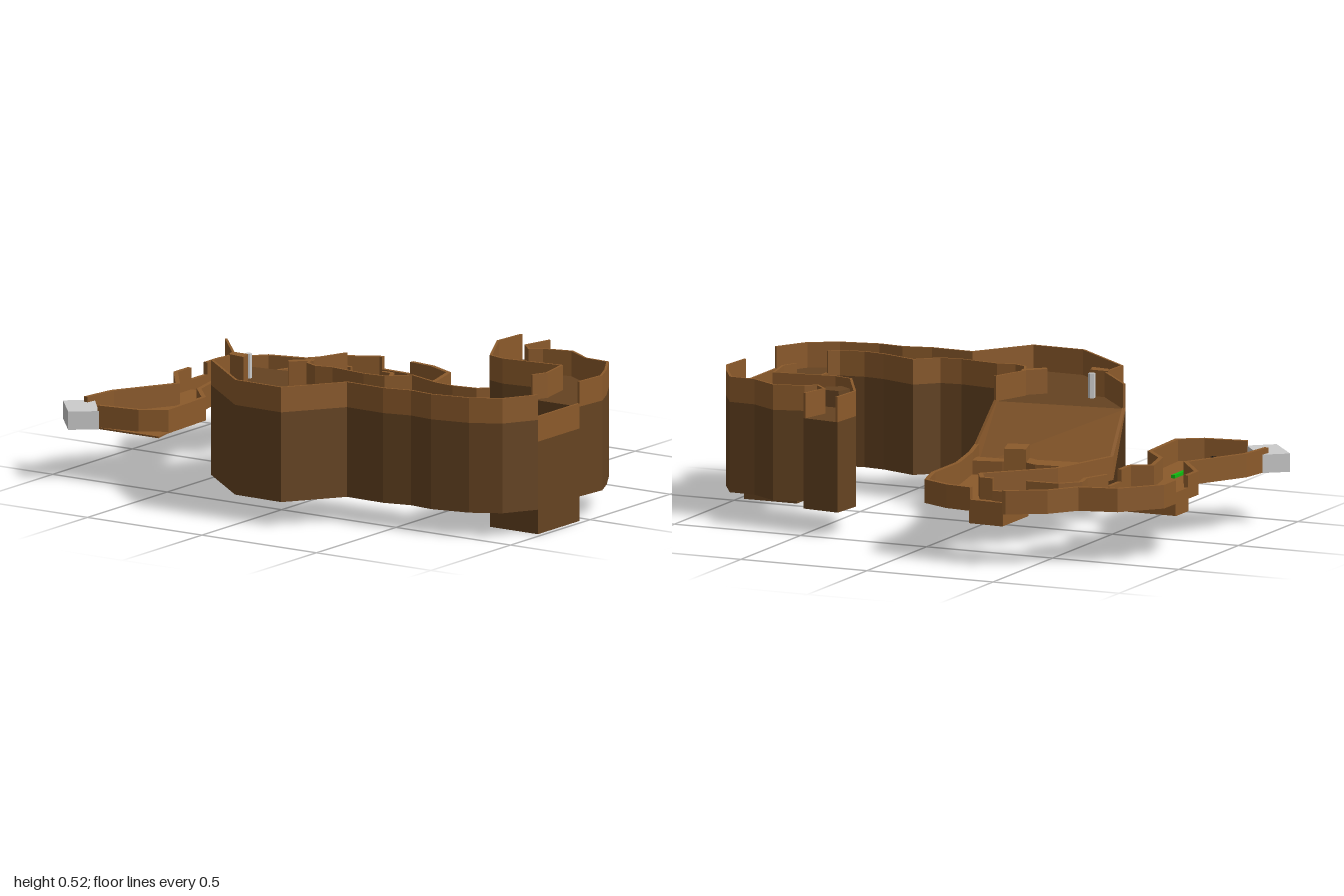
import * as THREE from 'three';

const paint = (color) => new THREE.MeshStandardMaterial({ color, flatShading: true });
const clay = paint(0x8b5a2b), earth = paint(0x654321), grey = paint(0xcccccc);
const green = paint(0x11bb11), black = paint(0x111111);

function add(parent, name, geometry, material) {
  const mesh = new THREE.Mesh(geometry, material);
  mesh.name = name;
  parent.add(mesh);
  return mesh;
}

// Prism over an [x, z] outline between two heights
function prism(outline, y0, y1) {
  const shape = new THREE.Shape(outline.map(([x, z]) => new THREE.Vector2(x, -z)));
  return new THREE.ExtrudeGeometry(shape, { depth: y1 - y0, bevelEnabled: false })
    .rotateX(-Math.PI / 2).translate(0, y0, 0);
}

// Thin wall along [x, z] points; y0 and y1 are functions of the point index.
// side is +1 for a wall left of the track and -1 for one on its right.
function wall(points, y0, y1, side, thick) {
  const pos = [], idx = [];
  const normal = (a, b) => new THREE.Vector2(a[1] - b[1], b[0] - a[0]).normalize().multiplyScalar(side);
  const quad = (a, b, c, d) => (side > 0 ? idx.push(a, d, c, a, c, b) : idx.push(a, b, c, a, c, d));
  const last = points.length - 1;
  points.forEach((p, i) => {
    const n0 = normal(points[Math.max(i - 1, 0)], points[Math.max(i, 1)]);
    const n1 = normal(points[Math.min(i, last - 1)], points[Math.min(i + 1, last)]);
    const m = n0.clone().add(n1).normalize();
    m.multiplyScalar(thick / Math.max(m.dot(n0), 0.5));
    const [x, z] = p, u = x + m.x, v = z + m.y;
    pos.push(x, y0(i), z, x, y1(i), z, u, y1(i), v, u, y0(i), v);
    if (i < last) {
      for (let k = 0; k < 4; k++) {
        const a = i * 4 + k, b = i * 4 + (k + 1) % 4;
        quad(a, a + 4, b + 4, b);
      }
    }
  });
  quad(0, 1, 2, 3);
  const e = last * 4;
  quad(e + 3, e + 2, e + 1, e);
  const g = new THREE.BufferGeometry();
  g.setAttribute('position', new THREE.Float32BufferAttribute(pos, 3));
  g.setIndex(idx);
  const flat = g.toNonIndexed();
  flat.computeVertexNormals();
  return flat;
}

// One stretch of track: a floor slab with a wall along each side
function section(parent, name, s) {
  const group = new THREE.Group();
  group.name = name;
  const outline = s.outline || [...s.left, ...[...s.right].reverse()];
  add(group, name + 'Floor', prism(outline, s.y - s.depth, s.y), s.material);
  [['Left', s.left, 1], ['Right', s.right, -1]].forEach(([label, pts, side]) =>
    add(group, name + label + 'Wall', wall(pts, () => s.y - s.foot, () => s.y + s.height, side, s.thick), clay));
  parent.add(group);
}

export function createModel() {
  const model = new THREE.Group();
  model.name = 'trackCourse';

  // Lower track: thin floor with low walls
  const low = { y: 0.2, depth: 0.006, foot: 0.006, height: 0.08, thick: 0.016, material: clay };
  const startLeft = [[-.925, .41], [-.905, .27], [-.78, .045], [-.89, -.1], [-.89, -.19]];
  const startRight = [[-.8, .505], [-.64, .48], [-.55, .42], [-.56, .17], [-.65, .07], [-.68, -.06], [-.61, -.1], [-.61, -.19]];
  section(model, 'startTrack', {
    ...low, left: startLeft, right: startRight,
    outline: [...startLeft, ...startRight.slice(2).reverse(), [-.535, .505], [-.8, .505]],
  });
  section(model, 'bendTrack', {
    ...low,
    left: [[-.89, -.29], [-.89, -.39], [-.77, -.525], [-.63, -.56], [-.555, -.66], [-.425, -.735], [-.41, -.735]],
    right: [[-.61, -.29], [-.57, -.39], [-.585, -.46], [-.53, -.515], [-.41, -.52]],
  });
  section(model, 'rockyTrack', {
    ...low,
    left: [[-.28, -.728], [-.18, -.715], [-.067, -.66], [-.03, -.525], [-.03, -.32], [.013, -.12], [.056, .02]],
    right: [[-.28, -.525], [-.24, -.525], [-.21, -.47], [-.41, -.265], [-.495, .02]],
  });

  // Sunken stretches of the lower track, with a step at each end
  const dips = [
    { left: [[-.89, -.19], [-.89, -.29]], right: [[-.61, -.19], [-.61, -.29]] },
    { left: [[-.41, -.735], [-.28, -.728]], right: [[-.41, -.52], [-.28, -.525]] },
  ];
  dips.forEach((d, n) => {
    section(model, 'lowerDip' + (n + 1), { ...low, ...d, y: 0.155 });
    [0, 1].forEach((i) => add(model, 'dipStep',
      wall([d.left[i], d.right[i]], () => 0.15, () => 0.2, i ? -1 : 1, 0.004), clay));
  });

  // Ramp from the lower track up to the plateau
  const rampLeft = [[.056, .02], [.03, .13]], rampRight = [[-.495, .02], [-.46, .195]];
  const base = (i) => 0.194 + i * 0.22, crest = (i) => 0.28 + i * 0.145;
  const ramp = new THREE.BufferGeometry();
  const corners = [rampLeft[0], rampRight[0], rampRight[1], rampLeft[1]];
  ramp.setAttribute('position', new THREE.Float32BufferAttribute(
    [0, 1, 2, 0, 2, 3].flatMap((i) => [corners[i][0], i > 1 ? 0.42 : 0.2, corners[i][1]]), 3));
  ramp.computeVertexNormals();
  const rampMaterial = clay.clone();
  rampMaterial.side = THREE.DoubleSide;
  add(model, 'ramp', ramp, rampMaterial);
  add(model, 'rampLeftWall', wall(rampLeft, base, crest, 1, 0.012), clay);
  add(model, 'rampRightWall', wall(rampRight, base, crest, -1, 0.012), clay);

  // Upper track: deep earth blocks with walls on top
  const high = { y: 0.42, depth: 0.33, foot: 0, height: 0.092, thick: 0.009, material: earth };
  section(model, 'plateau', {
    ...high,
    left: [[.03, .13], [-.02, .27], [.01, .34], [.055, .36], [.12, .345], [.27, .365], [.35, .355], [.425, .285],
      [.565, .335], [.645, .345], [.735, .33], [.77, .3]],
    right: [[-.46, .195], [-.3, .375], [-.305, .505], [-.05, .72], [.155, .725], [.3, .52], [.46, .525], [.565, .5],
      [.66, .51], [.805, .48], [.91, .42], [.98, .3]],
  });
  section(model, 'upperDip', {
    ...high, y: 0.34, depth: 0.34, left: [[.77, .3], [.77, .04]], right: [[.98, .3], [.98, .04]],
  });
  section(model, 'finishTrack', {
    ...high,
    left: [[.77, .04], [.795, -.015], [.77, -.14], [.54, -.11], [.47, -.13], [.355, -.34], [.365, -.475]],
    right: [[.98, .04], [.99, -.09], [.95, -.175], [.88, -.29], [.78, -.295], [.675, -.36], [.565, -.33], [.53, -.3],
      [.485, -.345], [.51, -.455]],
  });

  // Rocks and ledges on the lower floor
  add(model, 'mound', prism([[-.41, -.25], [-.3, -.26], [-.265, -.21], [-.29, -.16], [-.385, -.135], [-.44, -.13]], 0.2, 0.25), clay);
  add(model, 'ledge', prism([[-.41, .01], [-.345, -.09], [-.24, -.1], [-.18, -.07], [-.11, -.1], [.01, -.13], [.01, -.05],
    [-.09, -.045], [-.16, .015], [-.21, -.015], [-.34, .005]], 0.2, 0.25), clay);
  const boulder = add(model, 'boulder', new THREE.BoxGeometry(0.08, 0.1, 0.1), clay);
  boulder.position.set(-.145, .25, -.05);
  boulder.rotation.y = 0.3;

  // Gate blocks, post and finish rock on the upper floor
  add(model, 'gateBlock', prism([[-.31, .365], [-.24, .365], [-.225, .415], [-.295, .405]], 0.42, 0.516), clay);
  add(model, 'gateBlock', prism([[-.083, .34], [-.012, .27], [0, .3], [-.067, .36]], 0.42, 0.51), clay);
  add(model, 'post', new THREE.CylinderGeometry(0.013, 0.013, 0.09, 6), grey).position.set(-.26, .465, .335);
  add(model, 'finishRock', new THREE.CylinderGeometry(0.05, 0.055, 0.06, 5), earth).position.set(.51, .45, -.18);

  // Start block and guide rod
  add(model, 'startBlock', prism([[-1, .435], [-.91, .365], [-.795, .505], [-.88, .575]], 0.193, 0.26), grey);
  add(model, 'guideRod', new THREE.BoxGeometry(0.014, 0.012, 0.335), green).position.set(-.69, .207, .275);
  add(model, 'rodTip', new THREE.BoxGeometry(0.016, 0.02, 0.014), black).position.set(-.69, .211, .445);

  return model;
}
